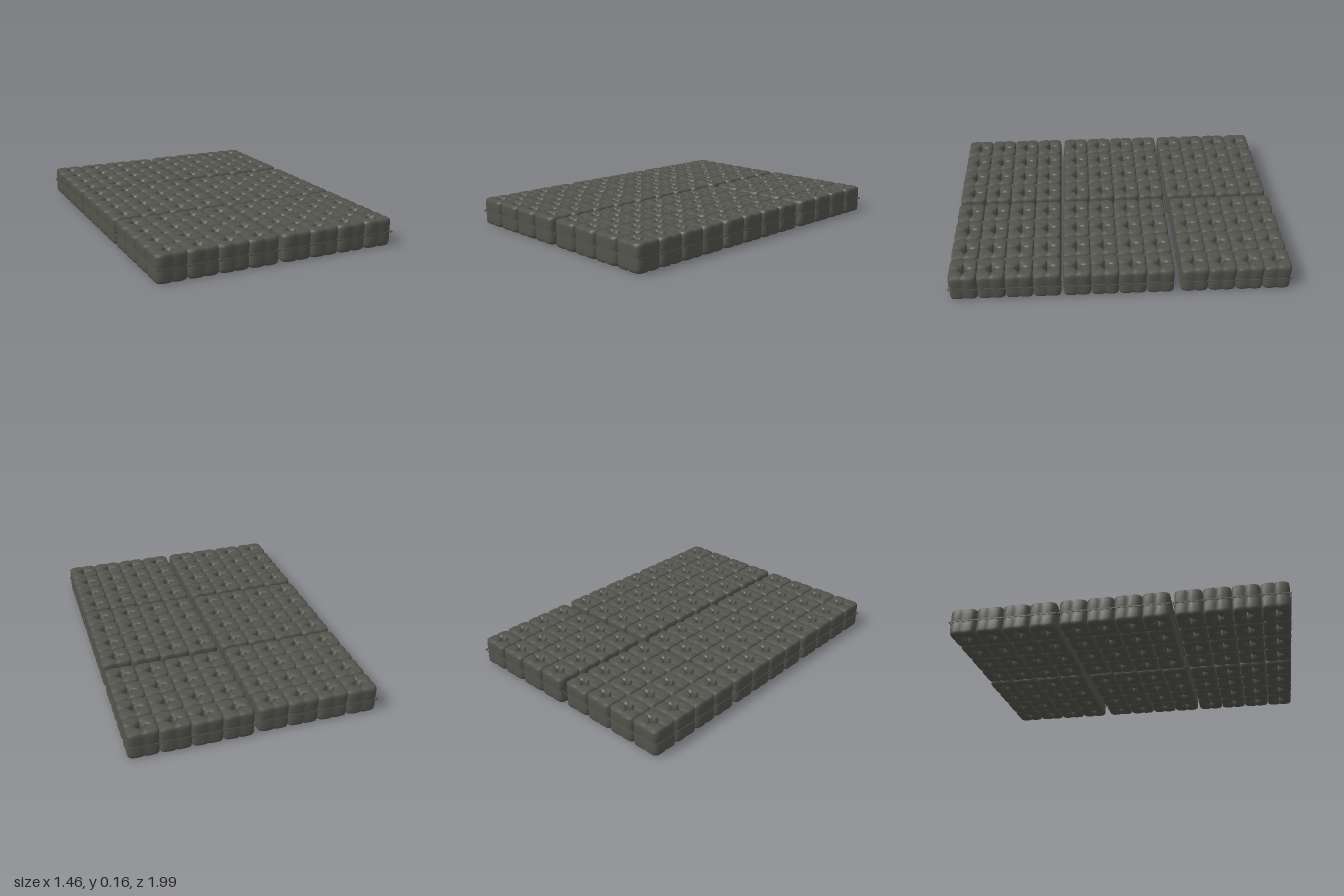
import * as THREE from 'three';

const PITCH_X = 0.179, PITCH_Z = 0.161, MID = 0.083, HALF_H = 0.082;

// One four-lobed cushion ring with a star-shaped hole: a section swept round the hole.
function cellGeometry() {
  // Section as [0 inner .. 1 outer, height -1 .. 1], running up the outside and down the inside
  const upper = [[1, 0.16], [1.0, 0.72], [0.97, 0.9], [0.86, 0.985], [0.5, 1], [0.2, 0.97], [0.05, 0.85], [0, 0.5]];
  const section = [[0.94, 0], ...upper, [0.03, 0], ...upper.slice(1).reverse().map(([u, h]) => [u, -h]), [1, -0.16]];
  const steps = 36, n = section.length;
  const pos = [], index = [];
  for (let i = 0; i < steps; i++) {
    const a = (i / steps) * Math.PI * 2;
    const c = Math.abs(Math.cos(a)), s = Math.abs(Math.sin(a));
    const toAxis = Math.min(Math.atan2(s, c), Math.atan2(c, s));
    const dip = Math.exp(-((toAxis / 0.13) ** 2));
    const outer = (c ** 7 + s ** 7) ** (-1 / 7) * (1.005 - 0.06 * dip);
    const inner = 0.47 * (c + s - Math.sqrt(2 * c * s));
    section.forEach(([u, h], j) => {
      const r = inner + (outer - inner) * u;
      pos.push(Math.cos(a) * r * PITCH_X / 2, h * HALF_H * (1 - 0.07 * dip), Math.sin(a) * r * PITCH_Z / 2);
      const i2 = (i + 1) % steps, j2 = (j + 1) % n;
      const p = i * n + j, q = i * n + j2, t = i2 * n + j, v = i2 * n + j2;
      index.push(p, q, t, q, v, t);
    });
  }
  const g = new THREE.BufferGeometry();
  g.setAttribute('position', new THREE.Float32BufferAttribute(pos, 3));
  g.setIndex(index);
  g.computeVertexNormals();
  return g;
}

// Thin rim that runs round a pad at half height
function rimGeometry() {
  const rect = (path, w, d) => {
    path.moveTo(-w, -d); path.lineTo(w, -d); path.lineTo(w, d); path.lineTo(-w, d); path.closePath();
    return path;
  };
  const w = PITCH_X * 2 + 0.004, d = PITCH_Z * 2 + 0.004;
  const shape = rect(new THREE.Shape(), w, d);
  shape.holes.push(rect(new THREE.Path(), w - 0.003, d - 0.003));
  const g = new THREE.ExtrudeGeometry(shape, { depth: 0.006, bevelEnabled: false });
  return g.translate(0, 0, -0.003).rotateX(-Math.PI / 2);
}

export function createModel() {
  const model = new THREE.Group();
  model.name = 'padSet';
  const material = new THREE.MeshStandardMaterial({ color: 0x53534d });
  material.name = 'dark grey';

  const cell = cellGeometry();
  const rim = rimGeometry();
  const joint = new THREE.CylinderGeometry(0.02, 0.02, 0.13, 8);

  const add = (group, name, geometry, x, z) => {
    const mesh = new THREE.Mesh(geometry, material);
    mesh.name = name;
    mesh.position.set(x, MID, z);
    group.add(mesh);
  };

  // Six loose pads in two columns, slightly out of line
  const pads = [
    [-0.372, -0.657], [-0.372, 0.006], [-0.372, 0.673],
    [0.369, -0.668], [0.369, 0.015], [0.369, 0.673],
  ];
  for (const [px, pz] of pads) {
    const pad = new THREE.Group();
    pad.name = 'pad';
    pad.position.set(px, 0, pz);
    for (let i = 0; i < 4; i++) {
      for (let k = 0; k < 4; k++) {
        add(pad, 'cushionCell', cell, (i - 1.5) * PITCH_X, (k - 1.5) * PITCH_Z);
        // Plug where four cells meet
        if (i < 3 && k < 3) add(pad, 'cellJoint', joint, (i - 1) * PITCH_X, (k - 1) * PITCH_Z);
      }
    }
    add(pad, 'padRim', rim, 0, 0);
    model.add(pad);
  }
  return model;
}
